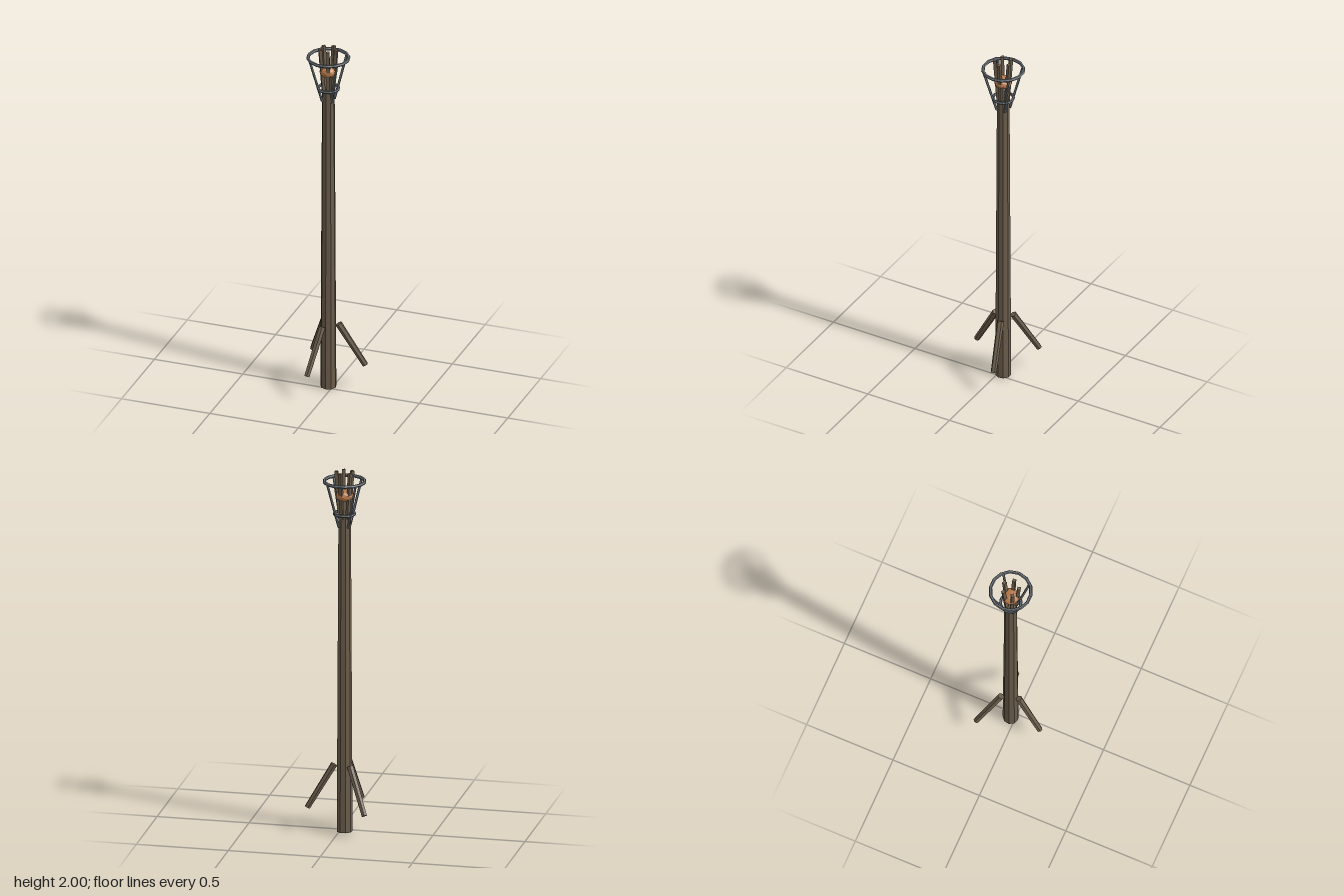
import * as THREE from 'three';

const mat = (name, color) => {
  const m = new THREE.MeshStandardMaterial({ color });
  m.name = name;
  m.flatShading = true;
  return m;
};

export function createModel() {
  const wood = mat('weatheredWood', 0x6b5d4b);
  const iron = mat('iron', 0x6c747a);
  const ember = mat('ember', 0xb97a4c);

  const torch = new THREE.Group();
  torch.name = 'standingTorch';
  // the uneven brace spread leaves the pole slightly off centre
  torch.position.set(-0.025, 0, -0.026);

  const add = (name, geometry, material) => {
    const mesh = new THREE.Mesh(geometry, material);
    mesh.name = name;
    torch.add(mesh);
    return mesh;
  };

  // point at a horizontal angle (degrees, x towards z), radius and height
  const polar = (deg, r, y) => {
    const a = THREE.MathUtils.degToRad(deg);
    return new THREE.Vector3(Math.cos(a) * r, y, Math.sin(a) * r);
  };

  // straight rod leaning outwards in the plane of one angle
  const rod = (name, deg, r0, y0, r1, y1, rad0, rad1, sides, material) => {
    const lean = Math.atan2(r1 - r0, y1 - y0);
    const geometry = new THREE.CylinderGeometry(rad1, rad0, Math.hypot(r1 - r0, y1 - y0), sides);
    if (sides === 4) geometry.rotateY(Math.PI / 4);
    geometry.rotateZ(-lean);
    const mesh = add(name, geometry, material);
    mesh.rotation.y = -THREE.MathUtils.degToRad(deg);
    mesh.position.copy(polar(deg, (r0 + r1) / 2, (y0 + y1) / 2));
  };

  // tapered pole
  add('pole', new THREE.CylinderGeometry(0.034, 0.043, 1.75, 9), wood).position.y = 0.875;

  // three braces at the foot
  for (const deg of [-15, 105, 225]) {
    rod('footBrace', deg, 0.197, 0.135, 0.055, 0.372, 0.016, 0.019, 6, wood);
  }

  // basket hoops
  const hoop = (name, r, tube, y, segments) => {
    const mesh = add(name, new THREE.TorusGeometry(r, tube, 6, segments).rotateX(Math.PI / 2), iron);
    mesh.position.y = y;
  };
  hoop('lowerHoop', 0.055, 0.008, 1.765, 12);
  hoop('upperHoop', 0.109, 0.009, 1.945, 14);

  // basket bars
  for (let i = 0; i < 4; i++) {
    rod('basketBar', 45 + i * 90, 0.036, 1.695, 0.108, 1.945, 0.007, 0.007, 5, iron);
  }

  // kindling sticks standing inside the basket
  for (let i = 0; i < 5; i++) {
    rod('kindlingStick', i * 72, 0.025, 1.74, 0.045, 1.998, 0.0125, 0.0125, 4, wood);
  }

  // flattened ember between the sticks
  const coal = add('ember', new THREE.IcosahedronGeometry(0.048, 1), ember);
  coal.scale.y = 0.72;
  coal.position.y = 1.865;

  const model = new THREE.Group();
  model.name = 'torch';
  model.add(torch);
  return model;
}
